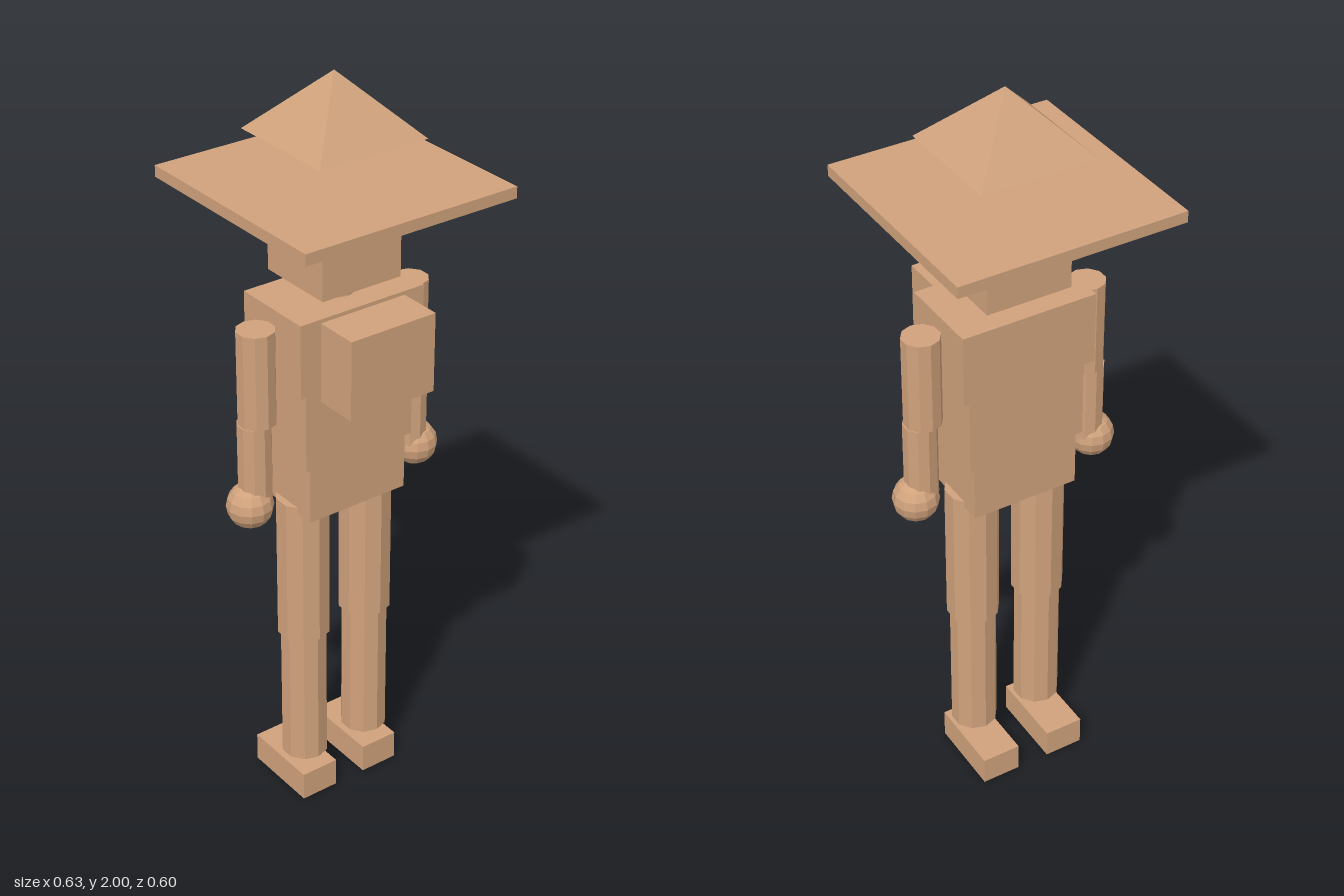
import * as THREE from 'three';

export function createModel() {
  const group = new THREE.Group();
  const clay = new THREE.MeshStandardMaterial({ color: 0xd0a27c, flatShading: true });
  clay.name = 'clay';

  const add = (name, geometry, x, y, z = 0) => {
    const mesh = new THREE.Mesh(geometry, clay);
    mesh.name = name;
    mesh.position.set(x, y, z);
    group.add(mesh);
    return mesh;
  };
  // Block and ten-sided post, both given by their bottom and top heights
  const block = (name, w, d, y0, y1, x = 0, z = 0) =>
    add(name, new THREE.BoxGeometry(w, y1 - y0, d), x, (y0 + y1) / 2, z);
  const post = (name, r, y0, y1, x = 0) =>
    add(name, new THREE.CylinderGeometry(r, r, y1 - y0, 10), x, (y0 + y1) / 2);

  // Hat: floating pyramid over a thin square brim
  const crown = new THREE.ConeGeometry(0.154 * Math.SQRT2, 0.155, 4);
  crown.rotateY(Math.PI / 4);
  add('hatCrown', crown, 0, 1.9225);
  block('hatBrim', 0.602, 0.602, 1.71, 1.74);

  // Head and neck
  block('head', 0.23, 0.22, 1.49, 1.71);
  post('neck', 0.055, 1.44, 1.5);

  // Stacked torso with a pack on the front
  block('chest', 0.366, 0.23, 1.255, 1.45);
  block('waist', 0.322, 0.208, 1.04, 1.255);
  block('pelvis', 0.292, 0.196, 0.888, 1.04);
  block('pack', 0.248, 0.118, 1.23, 1.44, 0, 0.174);

  // Arms and legs, mirrored
  for (const [side, s] of [['left', 1], ['right', -1]]) {
    post(side + 'UpperArm', 0.049, 1.16, 1.41, s * 0.231);
    post(side + 'Forearm', 0.044, 0.94, 1.16, s * 0.24);
    add(side + 'Hand', new THREE.SphereGeometry(0.06, 12, 8), s * 0.257, 0.934);
    post(side + 'Thigh', 0.07, 0.5, 0.905, s * 0.098);
    post(side + 'Shin', 0.062, 0.112, 0.5, s * 0.098);
    block(side + 'Foot', 0.107, 0.216, 0, 0.08, s * 0.099, -0.038);
  }
  return group;
}
